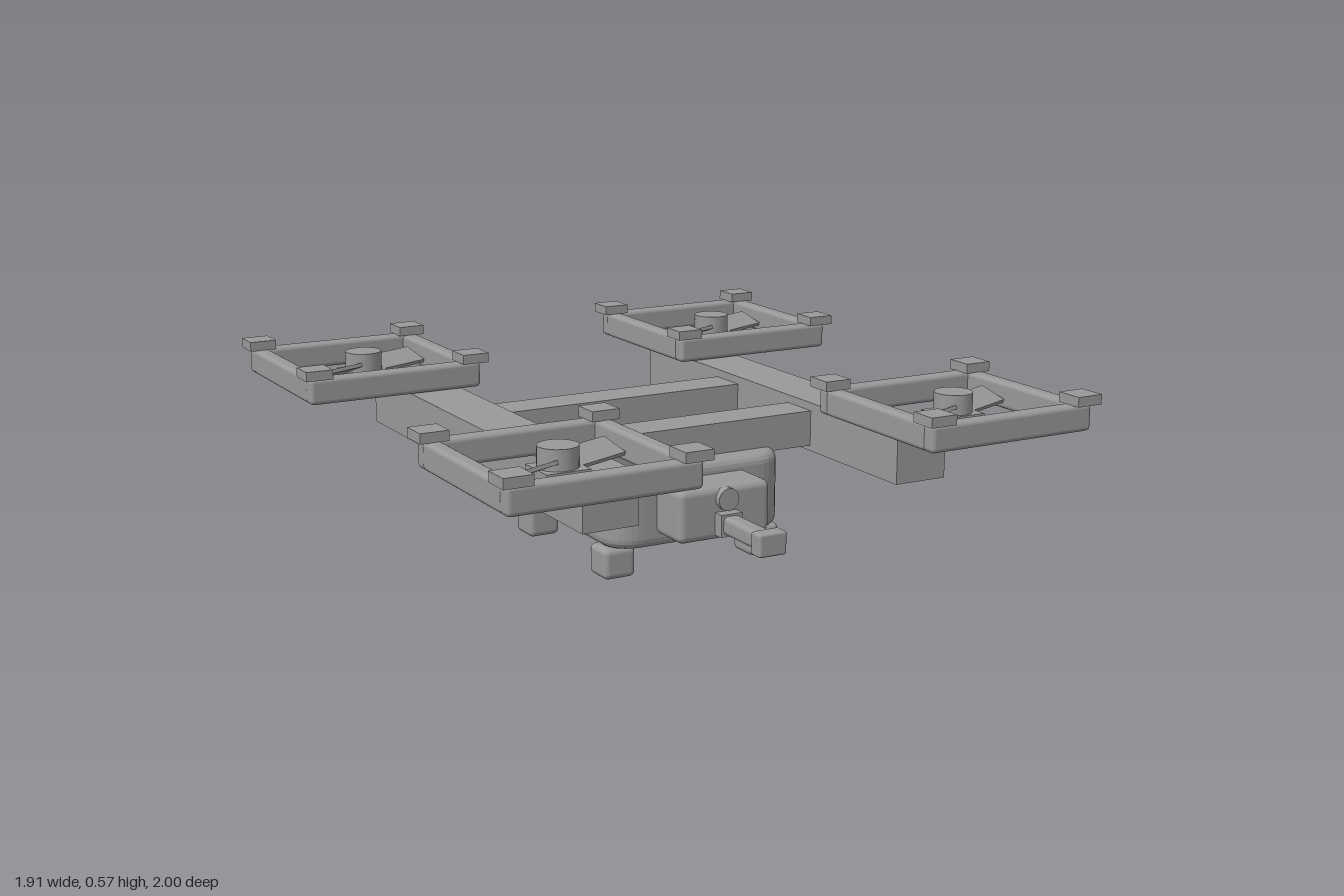
import * as THREE from 'three';
import { RoundedBoxGeometry } from 'three/addons/geometries/RoundedBoxGeometry.js';

export function createModel() {
  const model = new THREE.Group();
  model.name = 'quadcopter';
  const grey = new THREE.MeshStandardMaterial({ color: 0x999999 });
  grey.name = 'grey';

  function add(parent, name, geometry, x, y, z) {
    const mesh = new THREE.Mesh(geometry, grey);
    mesh.name = name;
    mesh.position.set(x, y, z);
    parent.add(mesh);
    return mesh;
  }
  const box = (w, h, d) => new THREE.BoxGeometry(w, h, d);
  const rounded = (w, h, d, r) => new RoundedBoxGeometry(w, h, d, 3, r);

  // Body: rounded plan, extruded upwards with softened rims
  const bevel = 0.03;
  const w = 0.30 - bevel, d = 0.35 - bevel, r = 0.075;
  const plan = new THREE.Shape();
  plan.moveTo(-w + r, -d);
  plan.lineTo(w - r, -d);
  plan.quadraticCurveTo(w, -d, w, -d + r);
  plan.lineTo(w, d - r);
  plan.quadraticCurveTo(w, d, w - r, d);
  plan.lineTo(-w + r, d);
  plan.quadraticCurveTo(-w, d, -w, d - r);
  plan.lineTo(-w, -d + r);
  plan.quadraticCurveTo(-w, -d, -w + r, -d);
  const bodyGeometry = new THREE.ExtrudeGeometry(plan, {
    depth: 0.24 - 2 * bevel, bevelEnabled: true, bevelSize: bevel,
    bevelThickness: bevel, bevelSegments: 4, curveSegments: 8,
  });
  bodyGeometry.rotateX(-Math.PI / 2);
  add(model, 'body', bodyGeometry, 0, 0.095 + bevel, 0);

  // Feet
  for (const x of [-0.252, 0.252]) {
    for (const z of [-0.252, 0.252]) {
      add(model, 'foot', rounded(0.105, 0.095, 0.105, 0.018), x, 0.0475, z);
    }
  }

  // Front housing with lens and probe
  add(model, 'frontHousing', rounded(0.31, 0.16, 0.16, 0.022), 0, 0.216, 0.405);
  const lens = new THREE.CylinderGeometry(0.034, 0.034, 0.04, 24);
  lens.rotateX(Math.PI / 2);
  add(model, 'lens', lens, 0, 0.26, 0.485);
  add(model, 'probeCollar', box(0.072, 0.068, 0.05), 0, 0.187, 0.496);
  add(model, 'probeShaft', rounded(0.056, 0.056, 0.22, 0.015), 0, 0.187, 0.61);
  add(model, 'probeTip', rounded(0.092, 0.07, 0.05, 0.008), 0, 0.187, 0.722);

  // Cross bars
  for (const z of [-0.215, 0.215]) {
    add(model, 'crossBar', box(0.86, 0.11, 0.13), 0, 0.375, z);
  }

  // One rotor with its square guard, centred on its own axis
  function createRotor() {
    const rotor = new THREE.Group();
    rotor.name = 'rotor';
    const half = 0.26;
    for (const s of [-1, 1]) {
      add(rotor, 'guardRailAcross', rounded(0.57, 0.082, 0.05, 0.014), 0, 0.498, s * half);
      add(rotor, 'guardRailAlong', rounded(0.05, 0.082, 0.5, 0.014), s * half, 0.498, 0);
      for (const t of [-1, 1]) {
        add(rotor, 'guardCap', box(0.086, 0.03, 0.086), s * half, 0.553, t * half);
      }
    }
    add(rotor, 'motorBase', box(0.132, 0.035, 0.132), 0, 0.472, 0);
    add(rotor, 'motorHub', new THREE.CylinderGeometry(0.058, 0.058, 0.09, 24), 0, 0.505, 0);
    const blades = new THREE.Group();
    blades.name = 'blades';
    blades.position.y = 0.5;
    blades.rotation.y = 0.39;
    for (const s of [-1, 1]) {
      const blade = add(blades, 'blade', box(0.19, 0.012, 0.084), s * 0.14, 0, 0);
      blade.rotation.x = s * 0.4;
    }
    rotor.add(blades);
    return rotor;
  }

  // Side arms with end blocks and rotors
  for (const x of [-1, 1]) {
    add(model, 'arm', box(0.172, 0.152, 1.27), x * 0.514, 0.379, 0);
    for (const z of [-1, 1]) {
      add(model, 'armEnd', box(0.172, 0.152, 0.1), x * 0.514, 0.379, z * 0.685);
      const rotor = createRotor();
      rotor.position.set(x * 0.652, 0, z * 0.697);
      model.add(rotor);
    }
  }
  return model;
}
